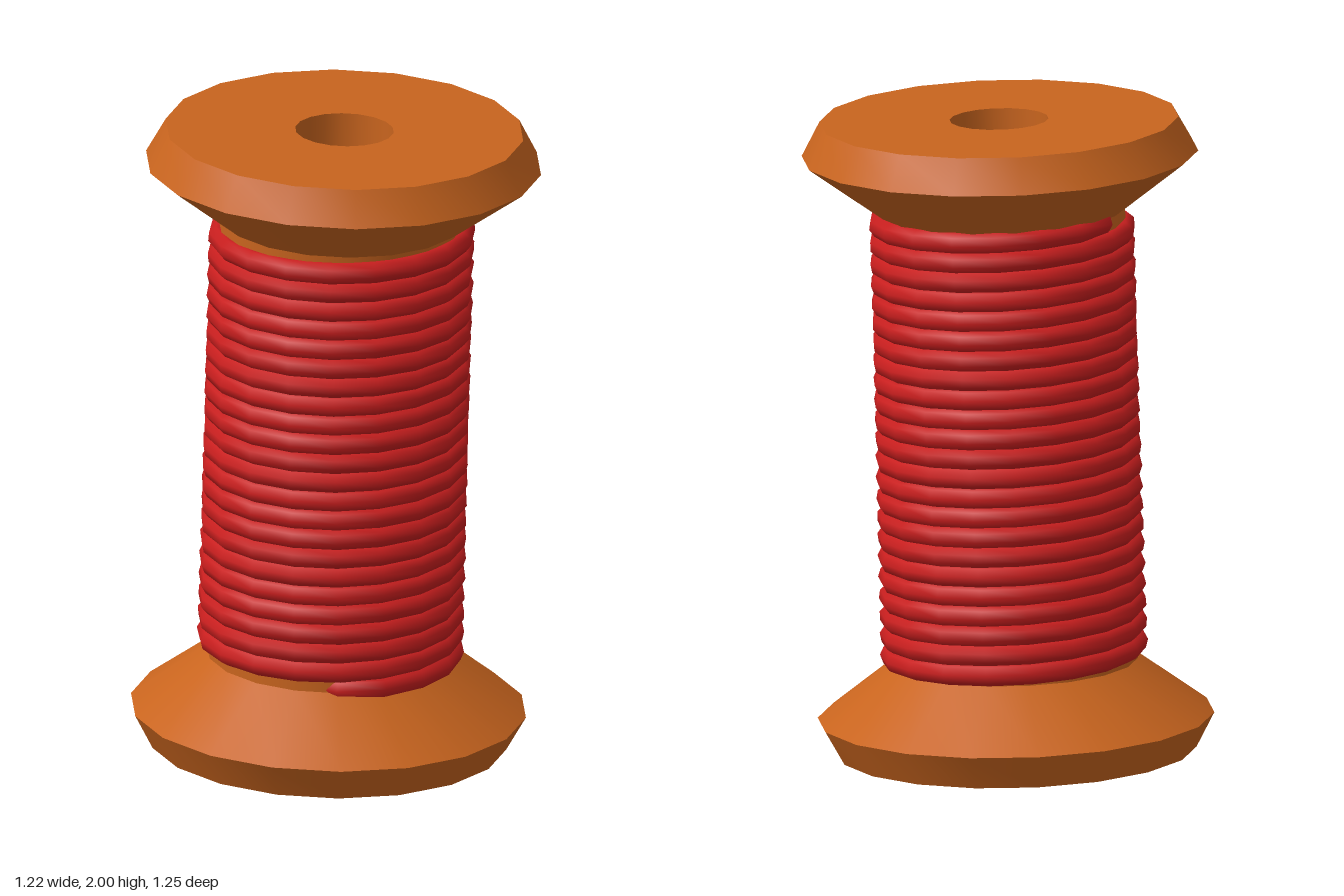
import * as THREE from 'three';
import { toCreasedNormals } from 'three/addons/utils/BufferGeometryUtils.js';

const SIDES = 18;

// Helical path wound around the core; both ends tuck into the wood
class Winding extends THREE.Curve {
  constructor(radius, startAngle, endAngle, startY, endY) {
    super();
    Object.assign(this, { radius, startAngle, endAngle, startY, endY });
    this.arcLengthDivisions = 4000;
  }
  getPoint(t, target = new THREE.Vector3()) {
    const a = THREE.MathUtils.lerp(this.startAngle, this.endAngle, t);
    const toEnd = Math.min(a - this.startAngle, this.endAngle - a);
    const r = this.radius - 0.07 * (1 - THREE.MathUtils.smoothstep(toEnd, 0, 0.5));
    const y = THREE.MathUtils.lerp(this.startY, this.endY, t);
    return target.set(r * Math.sin(a), y, r * Math.cos(a));
  }
}

export function createModel() {
  const model = new THREE.Group();
  model.name = 'threadSpool';

  // Whole spool leans slightly
  const spool = new THREE.Group();
  spool.name = 'spool';
  spool.position.y = 1;
  spool.rotation.set(0.04, 0, 0.01);
  model.add(spool);

  // Wooden body: flared ends, straight core and a bore right through
  const half = [[0.15, 0.978], [0.545, 0.978], [0.602, 0.872], [0.375, 0.7]];
  const profile = [
    ...half.map(([r, y]) => new THREE.Vector2(r, -y)),
    ...half.slice().reverse().map(([r, y]) => new THREE.Vector2(r, y)),
    new THREE.Vector2(0.15, -0.978),
  ];
  const bodyGeometry = toCreasedNormals(
    new THREE.LatheGeometry(profile, SIDES, Math.PI / 2), 0.5);
  const body = new THREE.Mesh(bodyGeometry,
    new THREE.MeshStandardMaterial({ color: 0xc8641e }));
  body.name = 'woodenBody';
  spool.add(body);

  // Thread wound from the bottom flare to the top flare
  const turns = 22.75;
  const start = -1.2;
  const path = new Winding(0.372, start, start + turns * Math.PI * 2, -0.695, 0.692);
  const thread = new THREE.Mesh(
    new THREE.TubeGeometry(path, Math.round(turns * SIDES), 0.035, 8, false),
    new THREE.MeshStandardMaterial({ color: 0xc81e1e }));
  thread.name = 'thread';
  spool.add(thread);

  return model;
}
